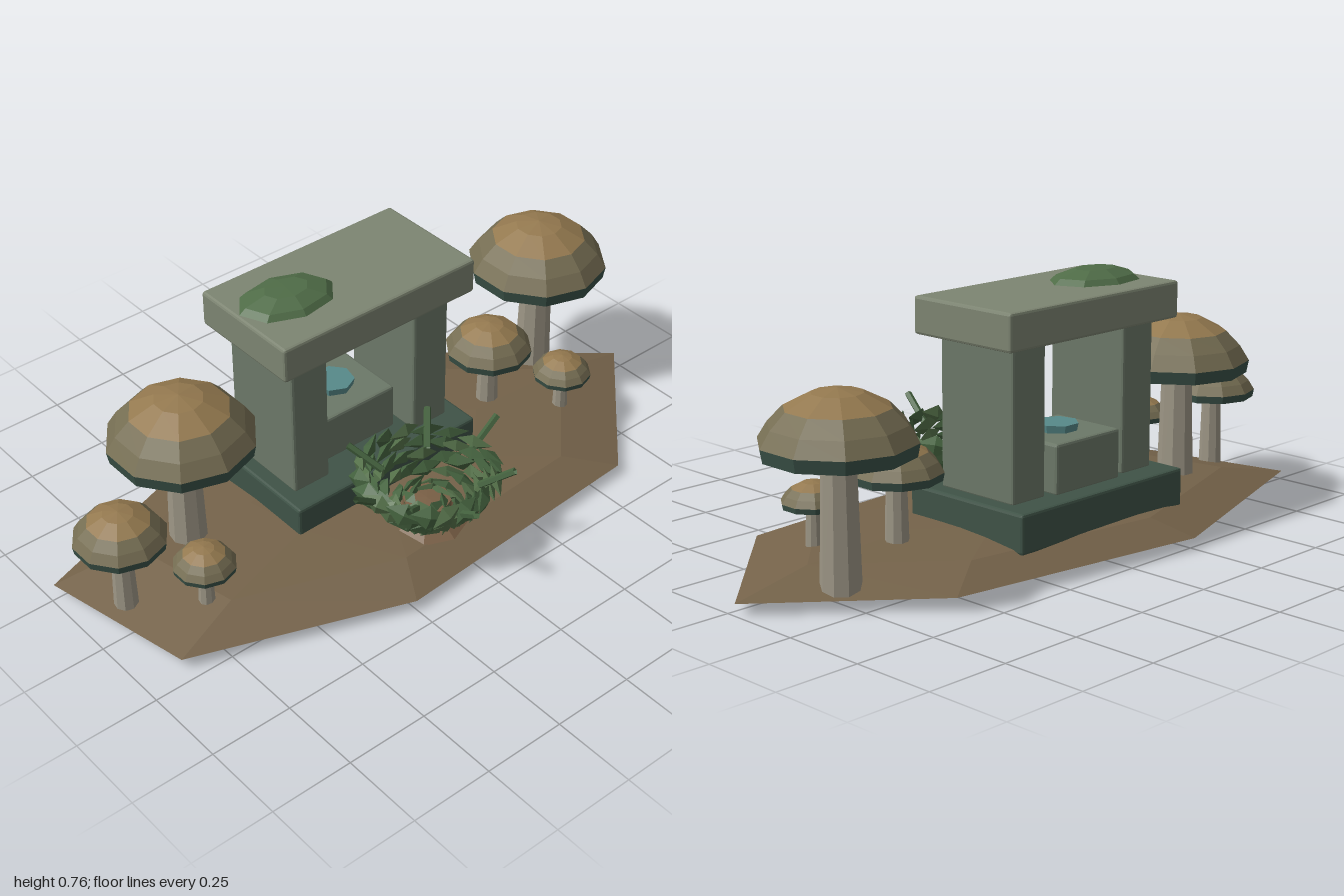
import * as THREE from 'three';
import { RoundedBoxGeometry } from 'three/addons/geometries/RoundedBoxGeometry.js';

const mat = (color) => new THREE.MeshStandardMaterial({ color, flatShading: true, side: THREE.DoubleSide });
const M = {
  earth: mat(0x75634a), soil: mat(0x47392a), base: mat(0x3f5347), pillar: mat(0x6c7868),
  slab: mat(0x7d8572), moss: mat(0x4f6c47), crystal: mat(0x578a8a), stem: mat(0x9c9585),
  crown: mat(0x94794f), skirt: mat(0x766e53), gill: mat(0x3a5147), leaf: mat(0x45633f),
  leafLight: mat(0x547049), root: mat(0x7a6046),
};

function add(parent, name, geometry, material, x = 0, y = 0, z = 0) {
  const mesh = new THREE.Mesh(geometry, material);
  mesh.name = name;
  mesh.position.set(x, y, z);
  parent.add(mesh);
  return mesh;
}

// Box given by its low and high corners, with a slim bevel
function block(parent, name, material, x0, x1, y0, y1, z0, z1) {
  const geo = new RoundedBoxGeometry(x1 - x0, y1 - y0, z1 - z0, 1, 0.008);
  return add(parent, name, geo, material, (x0 + x1) / 2, (y0 + y1) / 2, (z0 + z1) / 2);
}

// Island: one irregular outline, scaled ring by ring
const outline = [[-0.98, -0.27], [-0.25, -0.515], [0.57, -0.4], [1, -0.03], [0.6, 0.38], [-0.25, 0.435], [-0.88, 0.2]];
function rings(levels) {
  const pos = [];
  const n = outline.length;
  const point = (i, [s, y]) => [outline[i % n][0] * s, y, (outline[i % n][1] + 0.04) * s - 0.04];
  for (let k = 0; k + 1 < levels.length; k++) {
    for (let i = 0; i < n; i++) {
      const a = point(i, levels[k]), b = point(i, levels[k + 1]);
      const c = point(i + 1, levels[k + 1]), d = point(i + 1, levels[k]);
      if (levels[k + 1][0] > 0) pos.push(...a, ...b, ...c);
      if (levels[k][0] > 0) pos.push(...a, ...c, ...d);
    }
  }
  const geo = new THREE.BufferGeometry();
  geo.setAttribute('position', new THREE.Float32BufferAttribute(pos, 3));
  geo.computeVertexNormals();
  return geo;
}

const lathe = (points, sides) => new THREE.LatheGeometry(points.map(([r, y]) => new THREE.Vector2(r, y)), sides);

// Mushroom: s scales the cap, brimY is the cap's lower edge, footY the stem's foot
function mushroom(parent, name, x, z, s, brimY, footY) {
  const g = new THREE.Group();
  g.name = name;
  g.position.set(x, 0, z);
  const h = brimY + 0.02 - footY;
  add(g, 'stem', new THREE.CylinderGeometry(0.046 * s, 0.057 * s, h, 9), M.stem, 0, footY + h / 2, 0);
  const cap = new THREE.Group();
  cap.name = 'cap';
  cap.position.y = brimY;
  cap.scale.setScalar(s);
  add(cap, 'capUnderside', lathe([[0, 0.012], [0.206, 0], [0.213, 0.037]], 10), M.gill);
  add(cap, 'capSkirt', lathe([[0.213, 0.037], [0.185, 0.082], [0.143, 0.125]], 10), M.skirt);
  add(cap, 'capCrown', lathe([[0.143, 0.125], [0.07, 0.163], [0, 0.175]], 10), M.crown);
  g.add(cap);
  parent.add(g);
}

// Bush: bowl of overlapping leaf blades with twigs around the rim
function bush() {
  const g = new THREE.Group();
  g.name = 'bush';
  g.position.set(-0.035, 0, 0.23);
  let seed = 7;
  const rand = () => (seed = (seed * 16807) % 2147483647) / 2147483647;
  add(g, 'root', lathe([[0, 0.16], [0.07, 0.155], [0.07, 0.115], [0.12, 0.08]], 8), M.root);
  const leafGeo = new THREE.OctahedronGeometry(1, 0);
  // Each layer: radius, height, number of leaves
  const layers = [[0.05, 0.145, 7], [0.09, 0.135, 11], [0.125, 0.165, 14], [0.15, 0.195, 16], [0.175, 0.225, 18], [0.195, 0.25, 18]];
  layers.forEach(([r, y, n], k) => {
    for (let i = 0; i < n; i++) {
      const a = ((i + k * 0.5) / n) * Math.PI * 2 + rand() * 0.15;
      const leaf = add(g, 'leaf', leafGeo, i % 3 ? M.leaf : M.leafLight, Math.cos(a) * r, y, Math.sin(a) * r);
      leaf.rotation.order = 'YXZ';
      leaf.rotation.set(-0.5 + rand() * 0.4, Math.PI / 2 - a + 0.35, (rand() - 0.5) * 0.9);
      leaf.scale.set(0.055, 0.034, 0.018);
    }
  });
  // Twigs: angle and reach
  const twigs = [[1.8, 0.28], [0.95, 0.25], [-0.05, 0.28], [-0.85, 0.23], [-2.2, 0.23], [3.1, 0.27], [2.5, 0.24]];
  for (const [a, reach] of twigs) {
    const path = new THREE.LineCurve3(
      new THREE.Vector3(Math.cos(a) * (reach - 0.1), 0.235, Math.sin(a) * (reach - 0.1)),
      new THREE.Vector3(Math.cos(a) * reach, 0.305, Math.sin(a) * reach));
    add(g, 'twig', new THREE.TubeGeometry(path, 1, 0.011, 5), M.leaf);
  }
  return g;
}

export function createModel() {
  const model = new THREE.Group();
  model.name = 'mushroomShrine';

  // Island
  add(model, 'groundTop', rings([[1, 0.033], [0.76, 0.082], [0.4, 0.1], [0, 0.103]]), M.earth);
  add(model, 'groundUnderside', rings([[0, 0], [0.82, 0], [1, 0.033]]), M.soil);

  // Shrine
  const shrine = new THREE.Group();
  shrine.name = 'shrine';
  block(shrine, 'plinth', M.base, -0.37, 0.293, 0.07, 0.185, -0.365, 0.07);
  block(shrine, 'rightPillar', M.pillar, -0.325, -0.2, 0.18, 0.625, -0.283, -0.005);
  block(shrine, 'leftPillar', M.pillar, 0.118, 0.245, 0.18, 0.625, -0.283, -0.005);
  block(shrine, 'roofSlab', M.slab, -0.38, 0.303, 0.62, 0.728, -0.33, 0.04);
  block(shrine, 'altar', M.pillar, -0.17, 0.09, 0.18, 0.328, -0.3, -0.06);
  add(shrine, 'crystal', new THREE.CylinderGeometry(0.062, 0.056, 0.03, 7), M.crystal, -0.04, 0.335, -0.18);
  const moss = add(shrine, 'mossPatch', lathe([[1, 0], [0.86, 0.45], [0.45, 0.95], [0, 1]], 8), M.moss, -0.222, 0.727, -0.152);
  moss.scale.set(0.15, 0.038, 0.105);
  moss.rotation.y = -0.12;
  model.add(shrine);

  // The same cluster of three mushrooms on each side
  for (const [side, x] of [['right', -0.595], ['left', 0.75]]) {
    const cluster = new THREE.Group();
    cluster.name = side + 'MushroomCluster';
    mushroom(cluster, 'largeMushroom', x, -0.155, 1, 0.404, 0.035);
    mushroom(cluster, 'mediumMushroom', x - 0.275, -0.07, 0.62, 0.265, 0.045);
    mushroom(cluster, 'smallMushroom', x - 0.115, 0.088, 0.42, 0.19, 0.06);
    model.add(cluster);
  }

  model.add(bush());
  return model;
}
